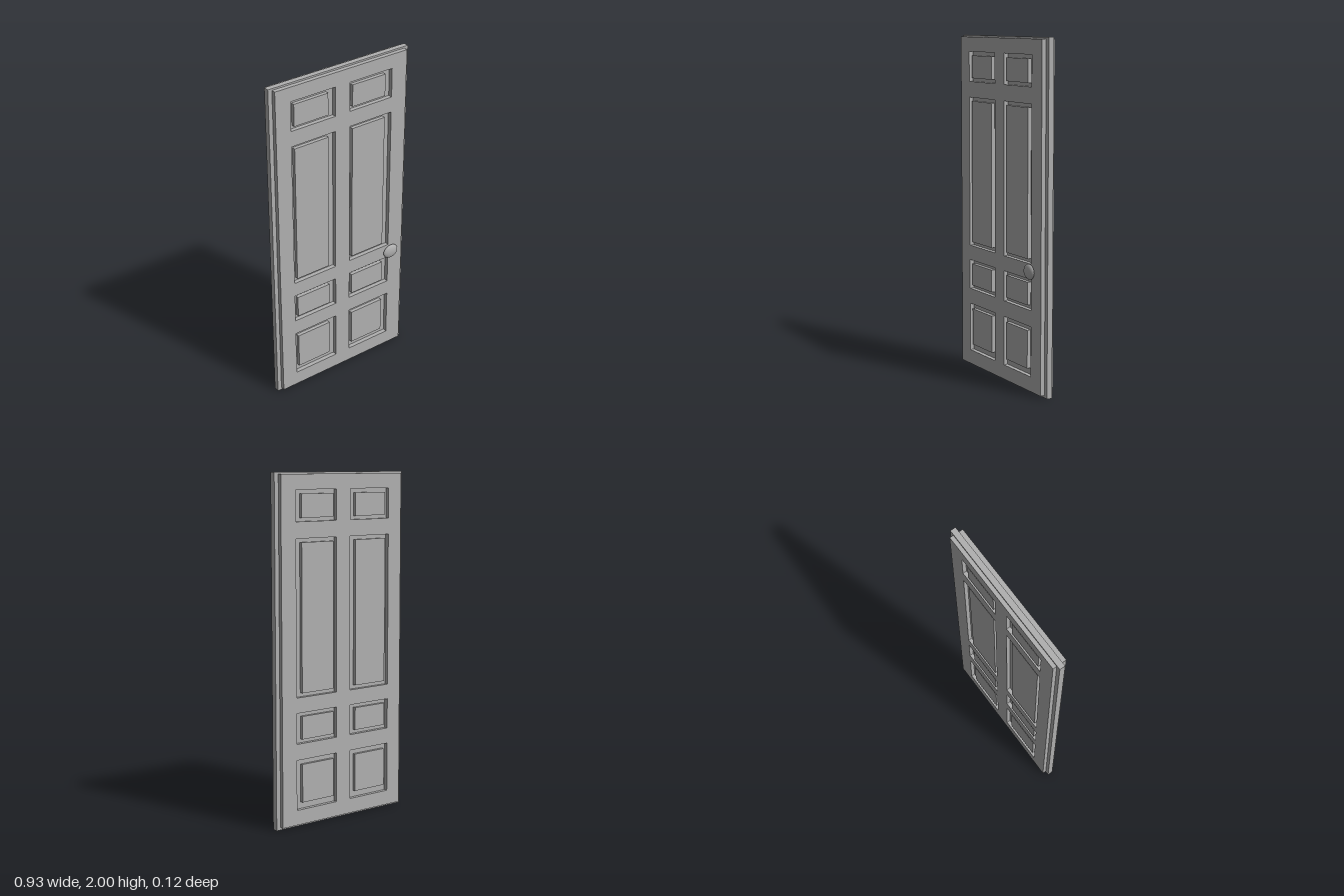
import * as THREE from 'three';

export function createModel() {
  const door = new THREE.Group();
  door.name = 'door';
  const grey = new THREE.MeshStandardMaterial({ color: 0xb0b0b0 });
  grey.name = 'grey';

  const add = (geometry, name, x = 0, y = 0, z = 0) => {
    const mesh = new THREE.Mesh(geometry, grey);
    mesh.name = name;
    mesh.position.set(x, y, z);
    door.add(mesh);
    return mesh;
  };

  // Depths of the core board and of the two facings
  const coreBack = -0.036, coreFront = -0.003;
  const faceBack = -0.059, faceFront = 0.023;

  // Panel columns and rows: [recess start, recess end, field start, field end]
  const columns = [
    [-0.345, -0.053, -0.322, -0.097],
    [0.047, 0.338, 0.068, 0.295],
  ];
  const rows = [
    [0.1, 0.39, 0.138, 0.36],
    [0.483, 0.66, 0.505, 0.637],
    [0.748, 1.637, 0.77, 1.615],
    [1.73, 1.905, 1.75, 1.882],
  ];

  // Core board
  add(new THREE.BoxGeometry(0.934, 2, coreFront - coreBack), 'coreBoard',
    0, 1, (coreFront + coreBack) / 2);

  const rectangle = (path, x0, x1, y0, y1) => path
    .moveTo(x0, y0).lineTo(x1, y0).lineTo(x1, y1).lineTo(x0, y1).closePath();

  // Facing outline with an opening for each panel
  const outline = new THREE.Shape();
  rectangle(outline, -0.442, 0.44, 0.014, 1.99);
  for (const [x0, x1] of columns) {
    for (const [y0, y1] of rows) {
      const hole = new THREE.Path();
      rectangle(hole, x0, x1, y0, y1);
      outline.holes.push(hole);
    }
  }

  // Facings and raised panel fields on both sides
  const sides = [
    ['front', coreFront, faceFront, coreFront, faceFront - 0.004],
    ['back', faceBack, coreBack, faceBack + 0.004, coreBack],
  ];
  for (const [side, z0, z1, field0, field1] of sides) {
    const facing = new THREE.ExtrudeGeometry(outline, { depth: z1 - z0, bevelEnabled: false });
    add(facing, `${side}Facing`, 0, 0, z0);
    for (const [, , x0, x1] of columns) {
      for (const [, , y0, y1] of rows) {
        add(new THREE.BoxGeometry(x1 - x0, y1 - y0, field1 - field0), `${side}PanelField`,
          (x0 + x1) / 2, (y0 + y1) / 2, (field0 + field1) / 2);
      }
    }
  }

  // Oval domed knob with a flat back
  const dome = new THREE.SphereGeometry(1, 32, 10, 0, Math.PI * 2, 0, Math.PI / 2);
  dome.rotateX(Math.PI / 2);
  dome.scale(0.052, 0.044, 0.017);
  add(dome, 'knob', 0.344, 0.708, 0.039);
  const back = new THREE.CircleGeometry(1, 32);
  back.rotateY(Math.PI);
  back.scale(0.052, 0.044, 1);
  add(back, 'knobBack', 0.344, 0.708, 0.039);

  return door;
}
